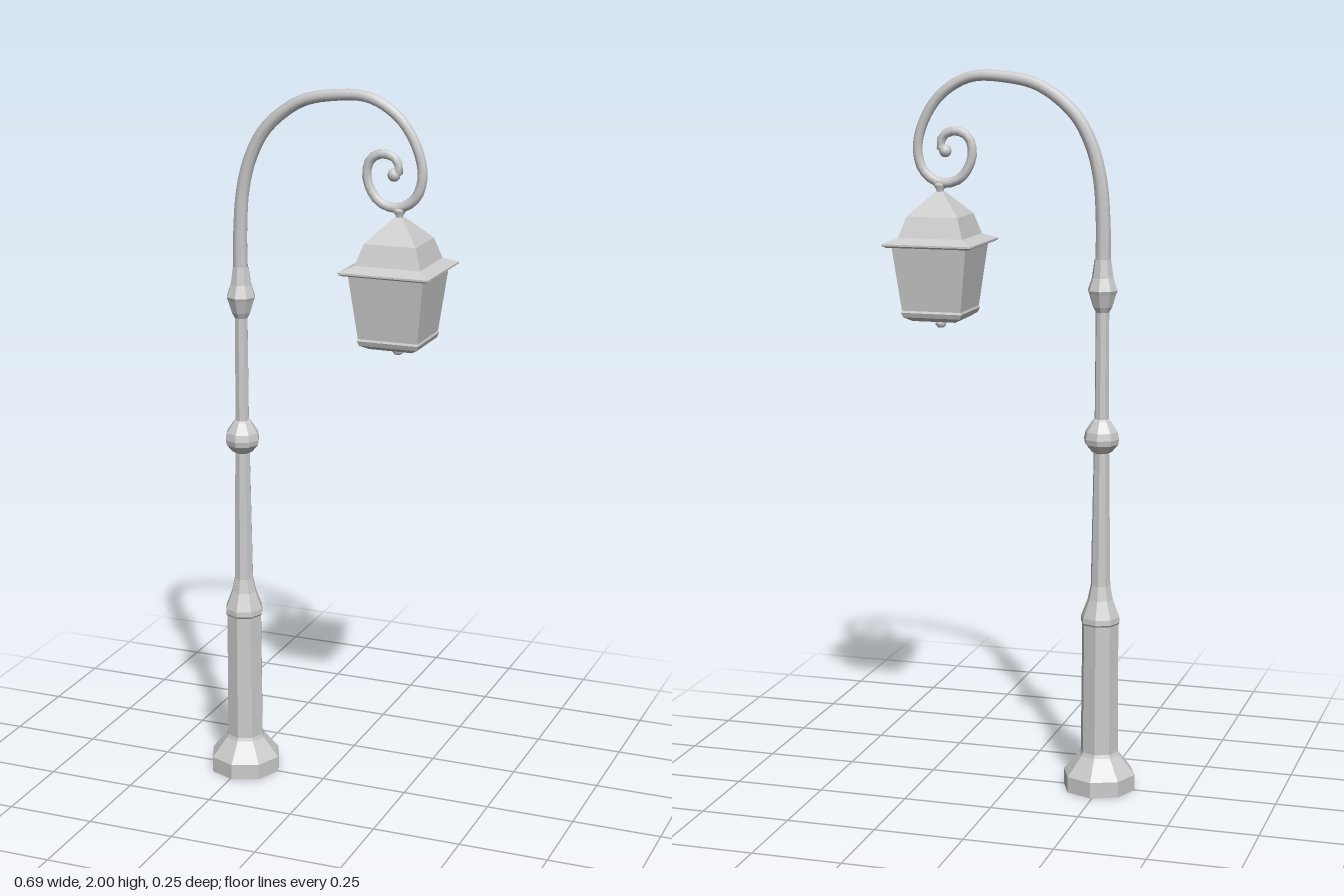
import * as THREE from 'three';

const POST_X = -0.245;
const LAMP_X = 0.218;

export function createModel() {
  const model = new THREE.Group();
  const flat = new THREE.MeshStandardMaterial({ color: 0xcccccc, flatShading: true });
  const smooth = new THREE.MeshStandardMaterial({ color: 0xcccccc });

  const add = (name, geometry, material, x = 0, parent = model) => {
    const mesh = new THREE.Mesh(geometry, material);
    mesh.name = name;
    mesh.position.x = x;
    parent.add(mesh);
    return mesh;
  };

  // Turned profile as [radius, height] pairs, from bottom to top
  const turned = (profile, sides) =>
    new THREE.LatheGeometry(profile.map(([r, y]) => new THREE.Vector2(r, y)), sides);

  // Square section as [half width, height] pairs, sides facing the axes
  const square = (profile) =>
    turned(profile.map(([h, y]) => [h * Math.SQRT2, y]), 4).rotateY(Math.PI / 4);

  // Octagonal post: foot, pedestal, shaft, knob and collar
  add('pedestal', turned([
    [0, 0], [0.103, 0], [0.103, 0.045], [0.058, 0.1], [0.054, 0.11],
    [0.052, 0.48], [0.056, 0.485], [0.055, 0.5], [0.036, 0.55], [0.028, 0.59],
  ], 8), flat, POST_X);
  add('shaft', turned([
    [0.028, 0.59], [0.022, 0.965], [0.03, 0.97], [0.047, 0.99], [0.05, 1.005],
    [0.046, 1.025], [0.026, 1.055], [0.02, 1.06], [0.019, 1.355],
  ], 8), flat, POST_X);
  add('collar', turned([
    [0.019, 1.355], [0.027, 1.37], [0.038, 1.405], [0.042, 1.415],
    [0.038, 1.427], [0.03, 1.45], [0.023, 1.5],
  ], 8), flat, POST_X);

  // Arched arm ending in a scroll, tapering along its length
  const path = new THREE.CatmullRomCurve3([
    [POST_X, 1.45], [POST_X, 1.6], [-0.235, 1.72], [-0.21, 1.81], [-0.163, 1.89],
    [-0.066, 1.963], [0.03, 1.985], [0.13, 1.984], [0.215, 1.935], [0.265, 1.86],
    [0.282, 1.785], [0.264, 1.725], [0.215, 1.695], [0.158, 1.71], [0.125, 1.77],
    [0.135, 1.82], [0.17, 1.838], [0.207, 1.825], [0.216, 1.795], [0.2, 1.78],
  ].map(([x, y]) => new THREE.Vector3(x, y, 0)), false, 'centripetal');
  const segments = 72;
  const sides = 8;
  const arm = new THREE.TubeGeometry(path, segments, 1, sides);
  const pos = arm.attributes.position;
  const p = new THREE.Vector3();
  for (let i = 0; i <= segments; i++) {
    const t = i / segments;
    const center = path.getPointAt(t);
    const radius = t < 0.5 ? 0.022 - 0.014 * t : 0.015 - 0.005 * (t - 0.5);
    for (let j = 0; j <= sides; j++) {
      const k = i * (sides + 1) + j;
      p.fromBufferAttribute(pos, k).sub(center).multiplyScalar(radius).add(center);
      pos.setXYZ(k, p.x, p.y, p.z);
    }
  }
  add('scrollArm', arm, smooth);
  add('scrollTip', new THREE.SphereGeometry(0.018, 10, 8), smooth, 0.202).position.y = 1.783;

  // Hanging lantern
  const lantern = new THREE.Group();
  lantern.name = 'lantern';
  lantern.position.x = LAMP_X;
  model.add(lantern);

  add('hanger', turned([
    [0.01, 1.65], [0.01, 1.675], [0.017, 1.685], [0.017, 1.693], [0, 1.705],
  ], 8), smooth, 0, lantern);
  add('roof', square([
    [0, 1.525], [0.118, 1.525], [0.127, 1.53], [0.127, 1.535], [0.092, 1.55],
    [0.073, 1.607], [0.012, 1.67], [0, 1.674],
  ]), flat, 0, lantern);
  add('lampBody', square([
    [0.084, 1.345], [0.106, 1.528],
  ]), flat, 0, lantern);
  add('lampBottom', square([
    [0, 1.318], [0.062, 1.318], [0.082, 1.33], [0.087, 1.343], [0.084, 1.35], [0, 1.35],
  ]), flat, 0, lantern);
  add('finial', turned([
    [0, 1.293], [0.01, 1.295], [0.016, 1.303], [0.014, 1.311], [0.008, 1.32],
  ], 8), smooth, 0, lantern);

  return model;
}
